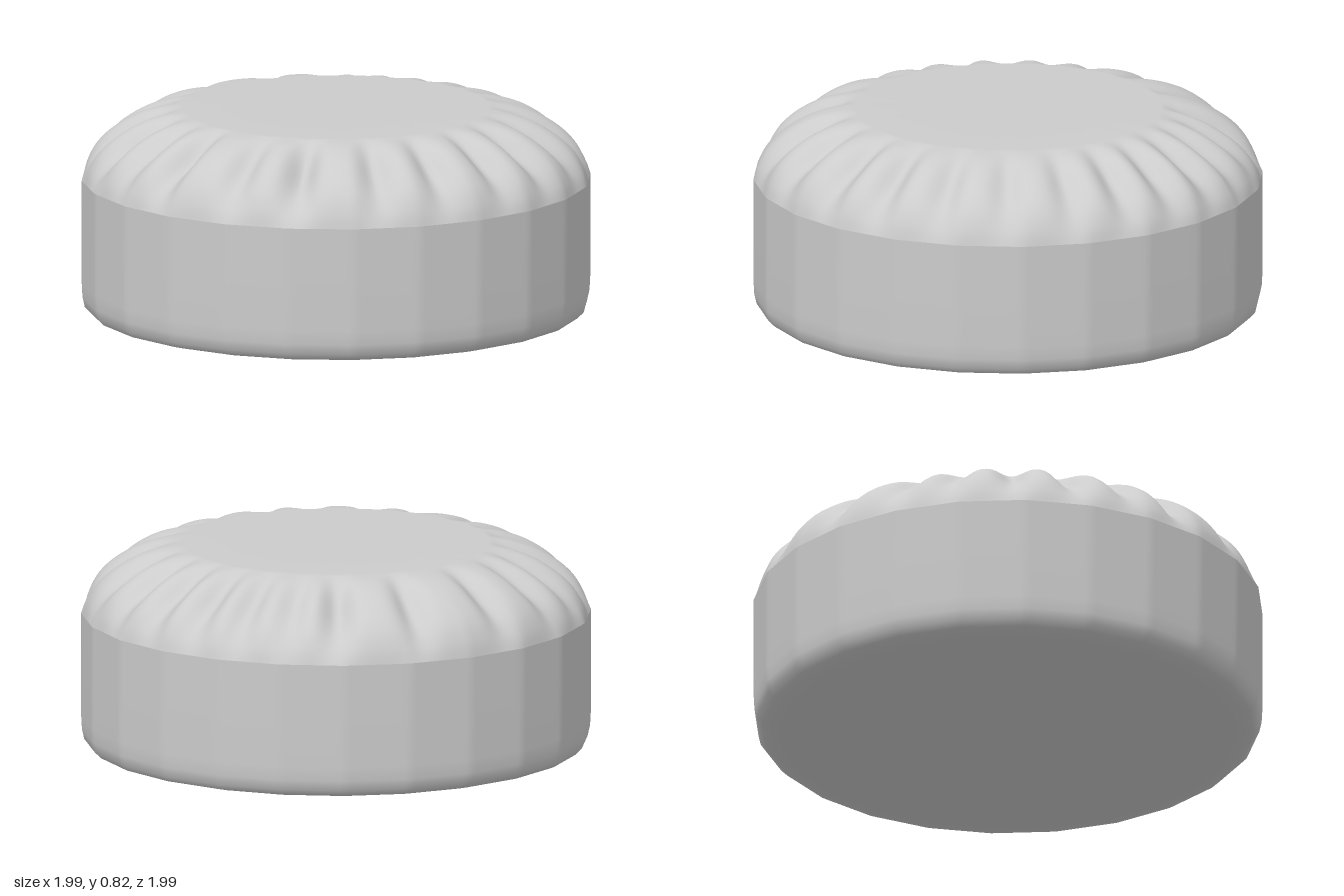
import * as THREE from 'three';

const SEG = 288;
const RAD = Math.PI / 180;
const SIDES = 24;
const CORNER = 6.4 * RAD; // angle of the first soft corner of the outline

// Gathers around the shoulder: [angle in degrees from +x towards +z, depth]
const FOLDS = [
  [-52, 1.3], [-40, 0.8], [-28, 0.9], [-16, 1], [-3, 1], [10, 1], [24, 0.8], [40, 0.7],
  [56, 0.8], [72, 1], [87, 1], [104, 1], [120, 1], [140, 1.5], [156, 1], [176, 1.3],
  [190, 0.9], [204, 1.2], [219, 1.1], [234, 0.8], [247, 0.9], [265, 0.9], [288, 1],
];

// Outline factor: a barely faceted circle
function outline(a) {
  const step = (2 * Math.PI) / SIDES;
  const t = (((a - CORNER) % step) + step) % step - step / 2;
  return Math.cos(step / 2) / Math.cos(t);
}

// Sum of the rounded valleys at one angle
function foldDepth(a) {
  let d = 0;
  for (const [deg, depth] of FOLDS) {
    const diff = Math.atan2(Math.sin(a - deg * RAD), Math.cos(a - deg * RAD)) / RAD;
    d += depth * Math.exp(-((diff / 4) ** 2));
  }
  return d;
}

// Closed rings swept round the y axis; place(i, a) returns [radius, y]
function ringSurface(rows, place) {
  const pos = [], index = [];
  for (let i = 0; i < rows; i++) {
    for (let j = 0; j < SEG; j++) {
      const a = (j / SEG) * 2 * Math.PI;
      const [r, y] = place(i, a);
      pos.push(r * Math.cos(a), y, r * Math.sin(a));
      if (i === rows - 1) continue;
      const p = i * SEG + j, q = i * SEG + ((j + 1) % SEG);
      index.push(p, p + SEG, q, q, p + SEG, q + SEG);
    }
  }
  const g = new THREE.BufferGeometry();
  g.setAttribute('position', new THREE.Float32BufferAttribute(pos, 3));
  g.setIndex(index);
  g.computeVertexNormals();
  return g;
}

export function createModel() {
  const group = new THREE.Group();
  group.name = 'pouf';
  const material = new THREE.MeshStandardMaterial({ color: 0xcccccc });
  const add = (name, geometry) => {
    const mesh = new THREE.Mesh(geometry, material);
    mesh.name = name;
    group.add(mesh);
  };

  // Underside, rounded lower edge and upright wall
  const wall = [
    [0, 0.005], [0.5, 0.005], [0.86, 0.005], [0.92, 0.01], [0.965, 0.022],
    [0.988, 0.045], [0.997, 0.085], [1, 0.14], [1, 0.35], [1, 0.55],
  ];
  add('body', ringSurface(wall.length, (i, a) => [wall[i][0] * outline(a), wall[i][1]]));

  // Gathered shoulder running into the flat top
  const curve = new THREE.SplineCurve([
    [1, 0.55], [0.985, 0.605], [0.95, 0.67], [0.89, 0.73],
    [0.8, 0.785], [0.7, 0.818], [0.6, 0.83],
  ].map(([x, y]) => new THREE.Vector2(x, y)));
  const rows = 28;
  const profile = curve.getSpacedPoints(rows);
  add('cushionTop', ringSurface(rows + 3, (i, a) => {
    if (i > rows) return [i === rows + 1 ? 0.4 : 0, 0.83];
    const t = i / rows;
    const { x, y } = profile[i];
    // Folds fade out at the seam and at the flat top
    const d = 0.055 * Math.sin(Math.PI * t ** 0.9) ** 1.3 * foldDepth(a);
    const lean = Math.PI / 2 * t;
    return [x * outline(a) - d * Math.cos(lean), y - d * Math.sin(lean)];
  }));

  return group;
}
